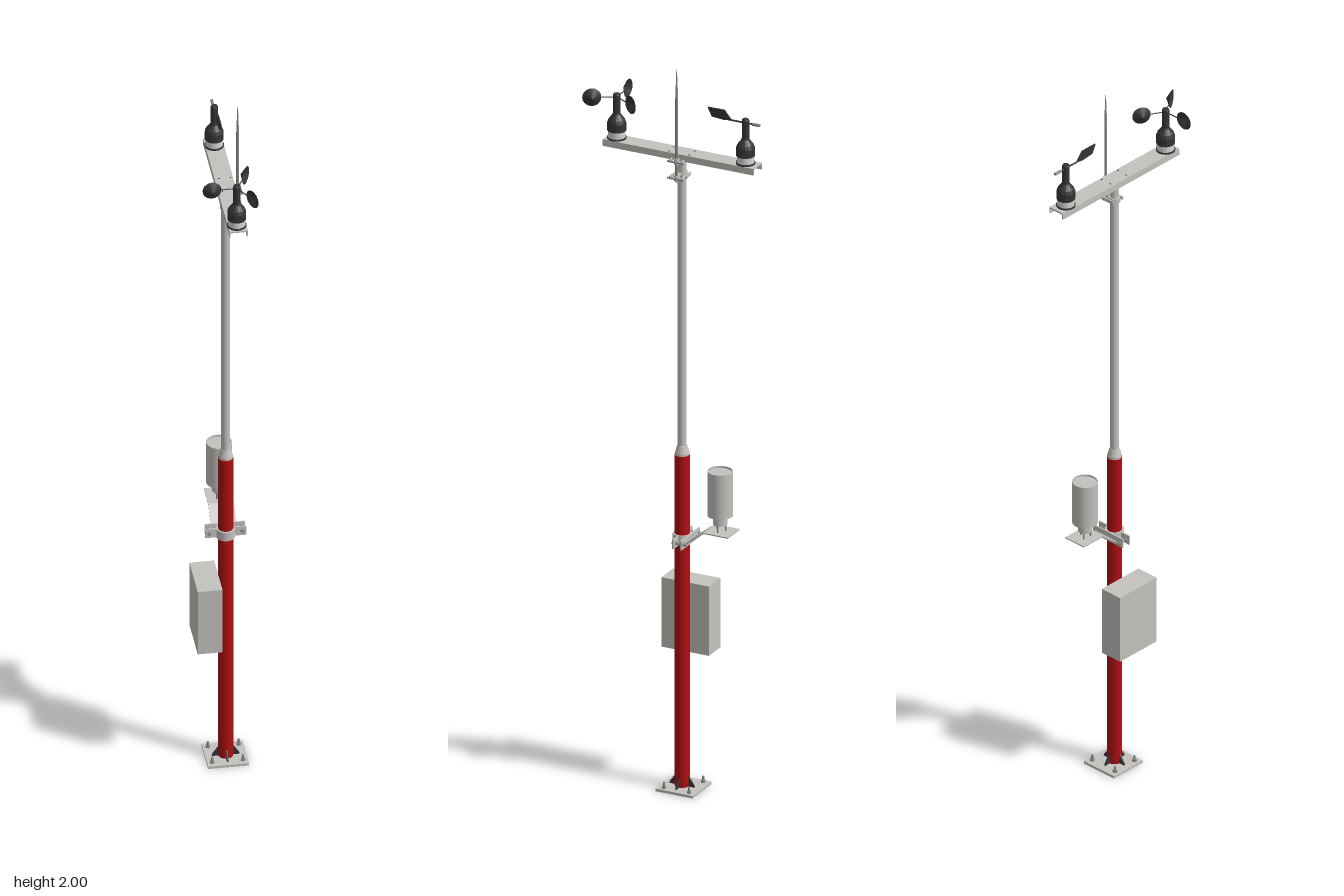
import * as THREE from 'three';

const PX = 0.017, PZ = -0.022; // mast axis

export function createModel() {
  const model = new THREE.Group();
  model.name = 'weatherStation';
  const mat = (name, color, side = THREE.FrontSide) => {
    const m = new THREE.MeshStandardMaterial({ color, side });
    m.name = name;
    return m;
  };
  const red = mat('mastRed', 0xae0f10);
  const grey = mat('lightGrey', 0xc3c2be, THREE.DoubleSide);
  const white = mat('paleBand', 0xd6d6d3);
  const steel = mat('boltSteel', 0x8c8c8a);
  const black = mat('sensorBlack', 0x343537, THREE.DoubleSide);

  const add = (name, geo, m, x = 0, y = 0, z = 0, parent = model) => {
    const mesh = new THREE.Mesh(geo, m);
    mesh.name = name;
    mesh.position.set(x, y, z);
    parent.add(mesh);
    return mesh;
  };
  const group = (name, x, y, z, parent = model) => {
    const g = new THREE.Group();
    g.name = name;
    g.position.set(x, y, z);
    parent.add(g);
    return g;
  };
  const box = (name, m, x0, x1, y0, y1, z0, z1, parent = model) =>
    add(name, new THREE.BoxGeometry(x1 - x0, y1 - y0, z1 - z0), m, (x0 + x1) / 2, (y0 + y1) / 2, (z0 + z1) / 2, parent);
  const cyl = (name, m, r0, r1, y0, y1, x, z, parent = model, seg = 32) =>
    add(name, new THREE.CylinderGeometry(r1, r0, y1 - y0, seg), m, x, (y0 + y1) / 2, z, parent);
  const rodZ = (name, m, r, z0, z1, x, y, parent = model, seg = 12) => {
    const mesh = add(name, new THREE.CylinderGeometry(r, r, z1 - z0, seg), m, x, y, (z0 + z1) / 2, parent);
    mesh.rotation.x = Math.PI / 2;
    return mesh;
  };
  // flat outline extruded upward: shape (x, y) becomes (x, -z)
  const collar = (name, m, ro, ri, y0, y1, x, z, parent = model) => {
    const s = new THREE.Shape().absarc(0, 0, ro, 0, Math.PI * 2);
    s.holes.push(new THREE.Path().absarc(0, 0, ri, 0, Math.PI * 2, true));
    const g = new THREE.ExtrudeGeometry(s, { depth: y1 - y0, bevelEnabled: false, curveSegments: 24 });
    return add(name, g.rotateX(-Math.PI / 2), m, x, y0, z, parent);
  };

  // Base plate with anchor bolts and gussets
  const base = group('base', PX, 0, -0.026);
  box('basePlate', grey, -0.053, 0.053, 0, 0.007, -0.053, 0.053, base);
  for (const sx of [-1, 1]) for (const sz of [-1, 1]) {
    cyl('anchorNut', steel, 0.006, 0.006, 0.007, 0.013, sx * 0.04, sz * 0.036, base, 6);
    cyl('anchorBolt', steel, 0.003, 0.003, 0.007, 0.024, sx * 0.04, sz * 0.036, base, 10);
  }
  const gusset = new THREE.Shape([[0.016, 0], [0.036, 0], [0.034, 0.006], [0.018, 0.028], [0.016, 0.028]]
    .map(p => new THREE.Vector2(...p)));
  for (let i = 0; i < 4; i++) {
    const geo = new THREE.ExtrudeGeometry(gusset, { depth: 0.004, bevelEnabled: false }).translate(0, 0, -0.002);
    add('gusset', geo, black, PX, 0.007, PZ).rotation.y = i * Math.PI / 2;
  }

  // Mast
  cyl('lowerMast', red, 0.0195, 0.0195, 0.007, 0.923, PX, PZ);
  cyl('reducerRim', grey, 0.0185, 0.0185, 0.923, 0.929, PX, PZ);
  cyl('reducerCone', grey, 0.0185, 0.0125, 0.929, 0.95, PX, PZ);
  cyl('upperMast', grey, 0.0115, 0.0115, 0.95, 1.747, PX, PZ);

  // Control cabinet
  box('cabinet', grey, -0.066, -0.002, 0.37, 0.562, -0.089, 0.047);

  // Rain gauge clamp
  collar('clampBand', grey, 0.0245, 0.0195, 0.68, 0.706, PX, PZ);
  box('clampBackPlate', grey, -0.034, 0.07, 0.68, 0.706, -0.0465, -0.0425);
  for (const s of [-1, 1]) {
    const x = PX + s * 0.043;
    box('clampEar', grey, PX + Math.min(s * 0.022, s * 0.053), PX + Math.max(s * 0.022, s * 0.053), 0.68, 0.706, -0.024, -0.02);
    rodZ('clampBolt', steel, 0.0025, -0.056, -0.016, x, 0.693);
    for (const z of [-0.051, -0.039, -0.029, -0.02]) rodZ('clampNut', steel, 0.005, z, z + 0.004, x, 0.693, model, 6);
  }

  // Bent bracket carrying the gauge
  const bend = [[-0.044, 0.682], [-0.05, 0.69], [-0.1, 0.729], [-0.17, 0.729],
    [-0.17, 0.732], [-0.099, 0.732], [-0.047, 0.692], [-0.044, 0.69]];
  const bendGeo = new THREE.ExtrudeGeometry(new THREE.Shape(bend.map(([z, y]) => new THREE.Vector2(-z, y))),
    { depth: 0.066, bevelEnabled: false });
  add('gaugeBracket', bendGeo.rotateY(Math.PI / 2), grey, PX - 0.033);

  // Rain gauge
  const GZ = -0.131;
  cyl('gaugeBody', grey, 0.033, 0.033, 0.775, 0.893, PX, GZ);
  collar('gaugeRim', grey, 0.033, 0.0305, 0.893, 0.898, PX, GZ);
  cyl('gaugeNeck', grey, 0.018, 0.018, 0.75, 0.775, PX, GZ);
  for (let i = 0; i < 3; i++) {
    const a = i * Math.PI * 2 / 3;
    cyl('gaugeLeg', steel, 0.0025, 0.0025, 0.724, 0.752, PX + 0.014 * Math.cos(a), GZ + 0.014 * Math.sin(a), model, 8);
  }

  // Channel crossbar
  const B = { x0: -0.007, x1: 0.041, z0: -0.238, z1: 0.194 };
  box('crossbarTop', grey, B.x0, B.x1, 1.759, 1.763, B.z0, B.z1);
  box('crossbarSide', grey, B.x0, B.x0 + 0.003, 1.745, 1.759, B.z0, B.z1);
  box('crossbarSide', grey, B.x1 - 0.003, B.x1, 1.745, 1.759, B.z0, B.z1);
  for (const x of [0.004, 0.034]) for (const z of [-0.051, 0.008])
    cyl('crossbarScrew', black, 0.0018, 0.0018, 1.763, 1.7645, x, z, model, 8);
  cyl('mastCap', grey, 0.017, 0.017, 1.747, 1.759, PX, PZ);

  // Lightning rod and its two clamps
  const RX = 0.048;
  cyl('lightningRod', steel, 0.0037, 0.0037, 1.688, 1.92, RX, PZ, model, 12);
  cyl('lightningRodTip', steel, 0.0037, 0.0008, 1.92, 2, RX, PZ, model, 12);
  for (const y of [1.692, 1.738]) {
    const c = group('rodClamp', 0, y, PZ);
    collar('mastCollar', grey, 0.015, 0.0115, 0, 0.015, PX, 0, c);
    collar('rodCollar', grey, 0.007, 0.0037, 0, 0.015, RX, 0, c);
    box('clampBridge', grey, 0.03, 0.043, 0, 0.015, -0.004, 0.004, c);
    for (const s of [-1, 1]) box('clampJaw', grey, 0.004, 0.054, 0.003, 0.012, s * 0.017 - 0.002, s * 0.017 + 0.002, c);
    for (const x of [0.035, 0.056]) rodZ('clampScrew', steel, 0.0025, -0.023, 0.023, x, 0.0075, c);
  }

  // Shared sensor housing
  const housing = (name, z) => {
    const g = group(name, PX - 0.001, 1.763, z);
    cyl('sensorFoot', black, 0.025, 0.025, 0, 0.004, 0, 0, g);
    cyl('sensorBand', white, 0.0225, 0.0225, 0.004, 0.022, 0, 0, g);
    const profile = [[0, 0.022], [0.0245, 0.022], [0.0245, 0.044], [0.021, 0.053], [0.011, 0.066], [0.0095, 0.07],
      [0.0095, 0.12], [0.008, 0.123], [0, 0.123]].map(p => new THREE.Vector2(...p));
    const geo = new THREE.LatheGeometry(profile, 16).toNonIndexed();
    geo.computeVertexNormals();
    add('sensorHood', geo, black, 0, 0, 0, g);
    return g;
  };

  // Cup anemometer
  const anemometer = housing('anemometer', 0.166);
  const rotor = group('cupRotor', 0, 0.114, 0, anemometer);
  for (let i = 0; i < 3; i++) {
    const arm = group('cupArm', 0, 0, 0, rotor);
    arm.rotation.y = i * Math.PI * 2 / 3;
    const rod = add('armRod', new THREE.CylinderGeometry(0.0014, 0.0014, 0.06, 8), black, -0.035, 0, 0, arm);
    rod.rotation.z = Math.PI / 2;
    const cup = add('cup', new THREE.ConeGeometry(0.0245, 0.014, 20, 1, true), black, -0.064, 0, 0.007, arm);
    cup.rotation.x = Math.PI / 2;
  }

  // Wind vane
  const vane = housing('windVane', -0.203);
  rodZ('vaneRod', black, 0.0022, -0.036, 0.07, 0, 0.112, vane);
  rodZ('vaneCounterweight', steel, 0.004, -0.041, -0.02, 0, 0.112, vane);
  const tail = new THREE.Shape([[0.04, 0.112], [0.06, 0.136], [0.108, 0.136], [0.096, 0.112], [0.06, 0.109]]
    .map(([z, y]) => new THREE.Vector2(-z, y)));
  const tailGeo = new THREE.ExtrudeGeometry(tail, { depth: 0.004, bevelEnabled: false });
  add('vaneTail', tailGeo.rotateY(Math.PI / 2), black, -0.002, 0, 0, vane);

  return model;
}
